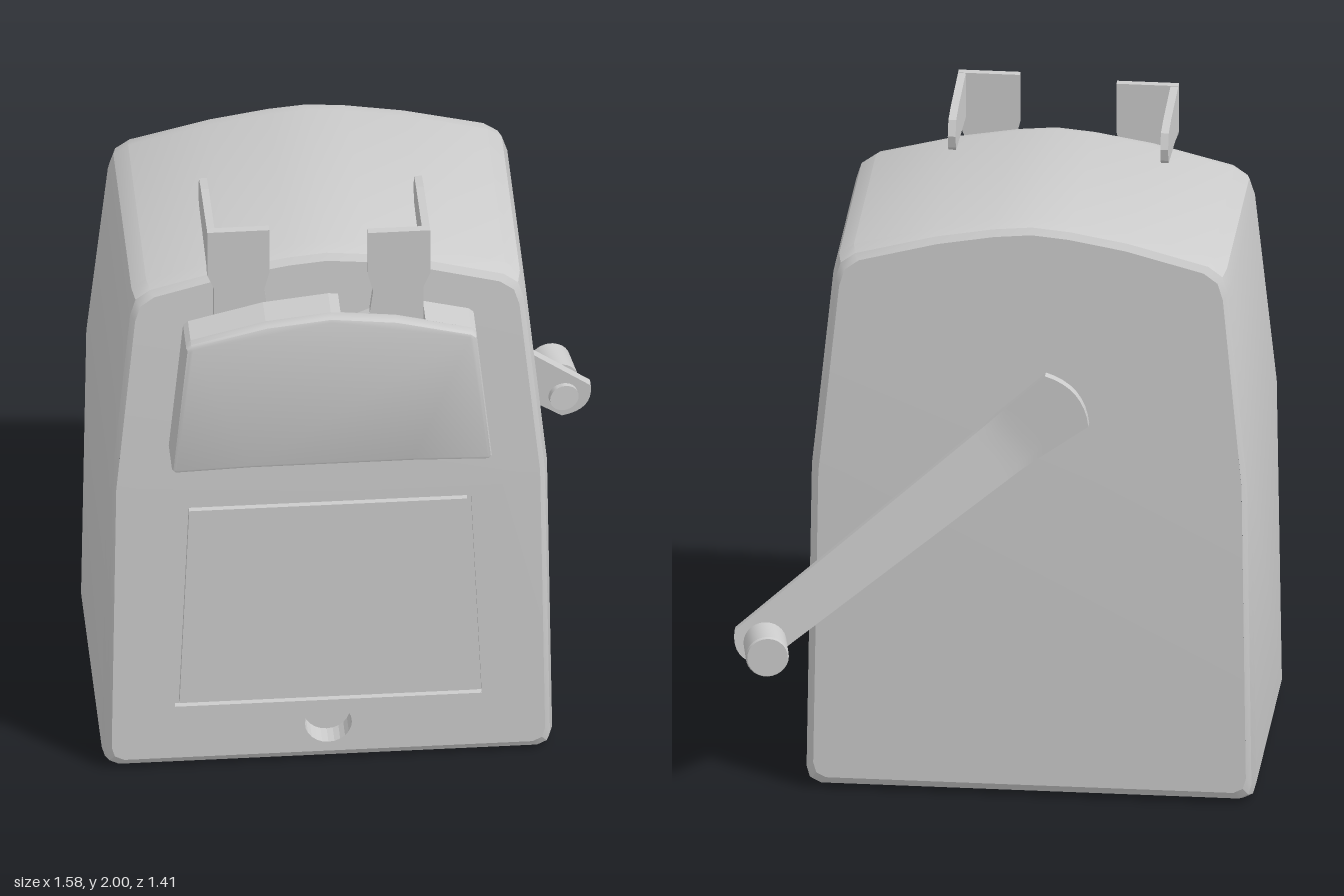
import * as THREE from 'three';
import { mergeGeometries, toCreasedNormals } from 'three/addons/utils/BufferGeometryUtils.js';

const grey = new THREE.MeshStandardMaterial({ color: 0xcccccc });
const thin = new THREE.MeshStandardMaterial({ color: 0xcccccc, side: THREE.DoubleSide });

const V = (x, y) => new THREE.Vector2(x, y);
// right-hand half profile, bottom to top, mirrored into a closed counter-clockwise outline
const mirrored = (half) => [
  ...half.map(([x, y]) => V(x, y)),
  ...half.filter(([x]) => x > 0).reverse().map(([x, y]) => V(-x, y)),
];
const circle = (cx, cy, r, n = 24) =>
  Array.from({ length: n }, (_, i) => V(cx + r * Math.cos((i / n) * 2 * Math.PI), cy + r * Math.sin((i / n) * 2 * Math.PI)));

function mesh(name, geometry, parent, material = grey) {
  const m = new THREE.Mesh(geometry, material);
  m.name = name;
  parent.add(m);
  return m;
}

// move z of every vertex by a rule of its position
function shiftZ(geometry, rule) {
  const p = geometry.attributes.position;
  for (let i = 0; i < p.count; i++) p.setZ(i, rule(p.getX(i), p.getY(i), p.getZ(i)));
  geometry.computeVertexNormals();
  return geometry;
}

// strip between closed rings, ordered from back to front
function loft(rings) {
  const pos = [];
  for (let i = 0; i + 1 < rings.length; i++) {
    const A = rings[i], B = rings[i + 1], n = A.length;
    for (let j = 0; j < n; j++) {
      const k = (j + 1) % n;
      for (const v of [A[j], A[k], B[k], A[j], B[k], B[j]]) pos.push(v.x, v.y, v.z);
    }
  }
  const g = new THREE.BufferGeometry();
  g.setAttribute('position', new THREE.Float32BufferAttribute(pos, 3));
  g.computeVertexNormals();
  return g;
}

function flat(points, holes = []) {
  const s = new THREE.Shape(points);
  s.holes = holes.map((h) => new THREE.Path(h));
  const g = new THREE.ShapeGeometry(s).toNonIndexed();
  g.deleteAttribute('uv');
  return g;
}

const extrude = (points, depth, bevel = 0) =>
  new THREE.ExtrudeGeometry(new THREE.Shape(points), {
    depth: depth - 2 * bevel, bevelEnabled: bevel > 0, bevelSize: bevel,
    bevelThickness: bevel, bevelOffset: -bevel, bevelSegments: 2,
  }).translate(0, 0, bevel);

// front and back faces lean inwards, more so above the waist
const WAIST = 1.05;
const frontZ = (y) => (y < WAIST ? 0.55 - 0.0095 * y : 0.54 - 0.06 * (y - WAIST));
const backZ = (y) => (y < WAIST ? -0.375 + 0.014 * y : -0.36 + 0.055 * (y - WAIST));

function addBody(parent) {
  const half = [[0.65, 0], [0.68, 0.015], [0.69, 0.05], [0.675, WAIST], [0.612, 1.68], [0.595, 1.735],
    [0.55, 1.768], [0.3, 1.833], [0.12, 1.864], [0, 1.875]];
  const scaled = (s) => half.map(([x, y]) => [x * s, WAIST + (y - WAIST) * s]);
  const ring = (s, inset, face) =>
    mirrored(scaled(s)).map((p) => new THREE.Vector3(p.x, p.y, face(p.y) + inset));
  const shell = loft([
    ring(0.962, 0, backZ), ring(0.985, 0.015, backZ), ring(1, 0.06, backZ),
    ring(1, -0.06, frontZ), ring(0.985, -0.015, frontZ), ring(0.962, 0, frontZ),
  ]);

  // front and back walls, split at the waist; the lower front has two openings
  const end = scaled(0.962);
  const lower = mirrored(end.filter(([, y]) => y <= WAIST + 1e-6));
  const upper = mirrored(end.filter(([, y]) => y >= WAIST - 1e-6));
  const drawerEdge = mirrored([[0.47, 0.23], [0.438, 0.972]]);
  const drawerFace = mirrored([[0.456, 0.243], [0.426, 0.959]]);
  const hole = circle(0, 0.145, 0.072);
  const onFront = (g, inset = 0) => shiftZ(g, (x, y, z) => z + inset + frontZ(y));
  const onBack = (g) => shiftZ(g.rotateY(Math.PI), (x, y) => backZ(y));
  const body = mergeGeometries([
    shell, onFront(flat(lower, [drawerEdge, hole])), onFront(flat(upper)),
    onBack(flat(lower)), onBack(flat(upper)),
  ]);
  mesh('body', toCreasedNormals(body, 0.4), parent);

  // drawer front set in a narrow seam, and the finger hole below it
  const pocket = (points, depth) => mergeGeometries([
    loft([-depth, 0].map((d) => points.map((p) => new THREE.Vector3(p.x, p.y, frontZ(p.y) + d)))),
    onFront(flat(points), -depth),
  ]);
  mesh('drawerSeam', pocket(drawerEdge, 0.02), parent, thin);
  mesh('drawerFront', onFront(extrude(drawerFace, 0.02), -0.02), parent);
  mesh('fingerHole', pocket(hole, 0.07), parent, thin);
}

function addCarriage(parent) {
  const outline = mirrored([[0.25, 1.222], [0.48, 1.215], [0.49, 1.225], [0.445, 1.665], [0.43, 1.678],
    [0.2, 1.735], [0, 1.757]]);
  // rear half has a notch in its top edge for the lever
  const notched = [...outline];
  notched.splice(5, 2, V(0.29, 1.713), V(0.29, 1.66), V(0.03, 1.66), V(0.03, 1.754), V(0, 1.757));
  const lean = (x, y, z) => z - 0.035 * (y - 1.22);
  const front = toCreasedNormals(extrude(outline, 0.05, 0.012), 0.5).translate(0, 0, 0.648);
  const carriage = new THREE.Group();
  carriage.name = 'pencilCarriage';
  parent.add(carriage);
  const f = front.attributes.position;
  for (let i = 0; i < f.count; i++) f.setZ(i, lean(f.getX(i), f.getY(i), f.getZ(i)));
  mesh('carriageFront', front, carriage);
  mesh('carriageRear', shiftZ(extrude(notched, 0.1), lean).translate(0, 0, 0.56), carriage);
  // short guide joining the carriage to the body
  mesh('carriageGuide', new THREE.CylinderGeometry(0.15, 0.15, 0.1, 24).rotateX(Math.PI / 2), carriage)
    .position.set(0, 1.43, 0.53);
}

// bent sheet lever: upright plate with a foot, and a blade reaching back; side is the blade's edge
function addLever(name, side, x, z, parent) {
  const lever = new THREE.Group();
  lever.name = name;
  lever.position.set(x, 0, z);
  parent.add(lever);
  const plate = [[0, 2], [-0.095, 2], [-0.095, 1.84], [-0.075, 1.79], [-0.075, 1.62], [0.16, 1.62],
    [0.16, 1.67], [0.09, 1.7], [0.08, 1.78], [0.095, 1.84], [0.095, 2]];
  const flip = side > 0 ? -1 : 1;
  const points = plate.map(([px, py]) => V(px * flip, py));
  mesh('leverPlate', extrude(points, 0.024).translate(0, 0, -0.024), lever);
  const blade = [[0, 1.85], [0, 2], [-0.25, 1.985], [-0.325, 1.972], [-0.345, 1.975 - 0.05],
    [-0.335, 1.885], [-0.325, 1.873]].map(([bx, by]) => V(bx, by));
  mesh('leverBlade', extrude(blade, 0.024).rotateY(-Math.PI / 2), lever)
    .position.x = side > 0 ? 0.095 : -0.071;
}

function addCrank(parent) {
  const crank = new THREE.Group();
  crank.name = 'crank';
  parent.add(crank);
  // arm: tapered strip with rounded ends, bent away from the body near its hub
  const L = 1.24;
  const halfWidth = (t) => (t < 0.2 ? 0.105 - 0.075 * t : 0.09 - 0.025 * (t - 0.2));
  const arm = new THREE.BoxGeometry(1, 2, 0.03, 24, 8, 1);
  const p = arm.attributes.position;
  for (let i = 0; i < p.count; i++) {
    const t = p.getX(i) + 0.5, v = p.getY(i);
    const u = t * L + (2 * t - 1) * 0.035 * (1 - v * v);
    p.setXYZ(i, u, v * halfWidth(t), p.getZ(i) - 0.165 * Math.max(0, u - 0.22));
  }
  const armMesh = mesh('crankArm', toCreasedNormals(arm, 0.5), crank);
  armMesh.position.set(-0.225, 1.325, -0.37);
  armMesh.rotation.z = -Math.atan2(0.8, 0.975);

  mesh('crankHub', new THREE.CylinderGeometry(0.06, 0.06, 0.06, 20).rotateX(Math.PI / 2), crank)
    .position.set(-0.11, 1.23, -0.345);

  // handle turned from a rivet, a neck and a grip
  const profile = [[0, 0], [0.045, 0], [0.045, 0.055], [0.035, 0.06], [0.035, 0.085], [0.066, 0.085],
    [0.066, 0.198], [0.062, 0.205], [0, 0.205]].map(([r, h]) => V(r, h));
  const grip = mesh('crankHandle', toCreasedNormals(new THREE.LatheGeometry(profile, 28), 0.5), crank);
  grip.position.set(0.695, 0.57, -0.495);
  grip.rotation.set(-Math.PI / 2, 0, 0.16);
}

export function createModel() {
  const model = new THREE.Group();
  model.name = 'pencilSharpener';
  const housing = new THREE.Group();
  housing.name = 'housing';
  housing.position.x = -0.11;
  model.add(housing);
  addBody(housing);
  addCarriage(housing);
  addLever('rightLever', -1, -0.385, 0.535, model);
  addLever('leftLever', 1, 0.105, 0.574, model);
  addCrank(model);
  return model;
}
